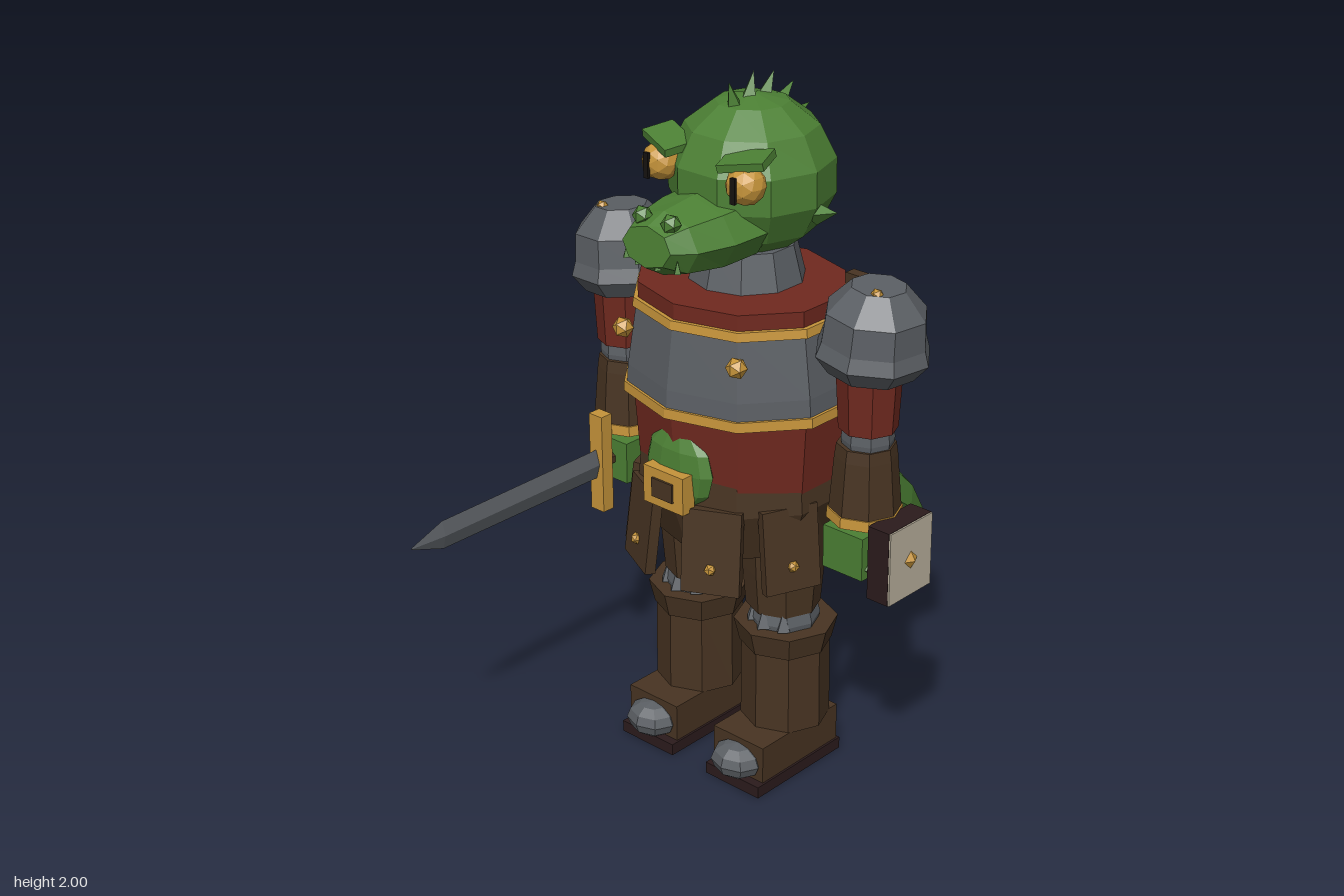
import * as THREE from 'three';

const paint = (name, color) => {
  const m = new THREE.MeshStandardMaterial({ color });
  m.name = name;
  return m;
};

export function createModel() {
  const green = paint('green scales', 0x4c8034), steel = paint('steel', 0x5b5f64);
  const red = paint('red cloth', 0x70291f), leather = paint('brown leather', 0x483422);
  const gold = paint('gold', 0xc6943a), dark = paint('dark sole', 0x2b1b1c);
  const cream = paint('cream', 0xb9b09c), black = paint('black', 0x161210);

  const model = new THREE.Group();
  model.name = 'lizardKnight';

  // Faceted mesh with one normal per face
  function add(name, geo, mat, x = 0, y = 0, z = 0, parent = model) {
    const flat = geo.index ? geo.toNonIndexed() : geo;
    flat.computeVertexNormals();
    const mesh = new THREE.Mesh(flat, mat);
    mesh.name = name;
    mesh.position.set(x, y, z);
    parent.add(mesh);
    return mesh;
  }
  const group = (name, x = 0, y = 0, z = 0, parent = model) => {
    const g = new THREE.Group();
    g.name = name;
    g.position.set(x, y, z);
    parent.add(g);
    return g;
  };
  const box = (w, h, d) => new THREE.BoxGeometry(w, h, d);
  const stud = r => new THREE.IcosahedronGeometry(r, 0);
  // Turned solid, listed from bottom to top as [radius, y]
  const turned = (profile, sides, depth = 1) => new THREE.LatheGeometry(
    [[0, profile[0][1]], ...profile, [0, profile.at(-1)[1]]].map(p => new THREE.Vector2(...p)), sides
  ).scale(1, 1, depth);
  // Solid through elliptical sections [z, y, halfWidth, halfHeight]
  function loft(sections, sides) {
    const pos = [], index = [], last = sections.length - 1;
    sections.forEach(([z, y, w, h], i) => {
      const a = sections[Math.max(i - 1, 0)], b = sections[Math.min(i + 1, last)];
      const t = new THREE.Vector2(b[0] - a[0], b[1] - a[1]).normalize();
      for (let k = 0; k < sides; k++) {
        const q = (k / sides) * Math.PI * 2;
        pos.push(w * Math.cos(q), y + t.x * h * Math.sin(q), z - t.y * h * Math.sin(q));
        const n = i * sides + k, m = i * sides + (k + 1) % sides;
        if (i < last) index.push(n, m, m + sides, n, m + sides, n + sides);
      }
    });
    const end = last * sides;
    for (let k = 1; k < sides - 1; k++) index.push(0, k + 1, k, end, end + k, end + k + 1);
    const geo = new THREE.BufferGeometry();
    geo.setAttribute('position', new THREE.Float32BufferAttribute(pos, 3));
    geo.setIndex(index);
    return geo;
  }

  // Head and snout
  const head = group('head');
  add('skull', new THREE.SphereGeometry(0.23, 10, 7), green, 0, 1.72, -0.05, head).scale.set(1, 0.96, 1);
  add('snout', loft([[0.06, 1.62, 0.16, 0.1], [0.18, 1.615, 0.15, 0.1],
    [0.29, 1.615, 0.12, 0.087], [0.355, 1.622, 0.085, 0.055]], 8), green, 0, 0, 0, head);
  // Spikes along the crown
  [-17, 1, 18, 37, 58].forEach((deg, i) => {
    const a = THREE.MathUtils.degToRad(deg);
    const s = add('crestSpike', new THREE.ConeGeometry(0.028, 0.085, 4), green,
      0, 1.72 + 0.235 * Math.cos(a), -0.04 - 0.235 * Math.sin(a), head);
    s.rotation.x = -a - (i ? 0.25 : 0);
  });
  for (const s of [-1, 1]) {
    const side = s < 0 ? 'right' : 'left';
    add(side + 'Eye', new THREE.IcosahedronGeometry(0.054, 1), gold, s * 0.148, 1.767, 0.14, head);
    add(side + 'Pupil', box(0.016, 0.07, 0.009), black, s * 0.152, 1.765, 0.193, head);
    const brow = add(side + 'Brow', box(0.13, 0.022, 0.09), green, s * 0.135, 1.825, 0.125, head);
    brow.rotation.set(0.15, s * 0.35, s * 0.12);
    const ear = add(side + 'Ear', new THREE.ConeGeometry(0.034, 0.08, 4), green, s * 0.235, 1.655, -0.075, head);
    ear.rotation.z = -s * 1.35;
    add(side + 'Nostril', stud(0.028), green, s * 0.05, 1.685, 0.315, head);
    for (const [x, z] of [[0.035, 0.35], [0.09, 0.335]])
      add(side + 'Tooth', new THREE.ConeGeometry(0.012, 0.035, 4), green, s * x, 1.585, z, head);
  }

  // Torso, breastplate and trim
  const torso = group('torso', 0, 0, -0.01);
  add('neckGuard', turned([[0.165, 1.42], [0.135, 1.54]], 10), steel, 0, 0, -0.02, torso);
  add('tunic', turned([[0.305, 0.91], [0.322, 1.13], [0.322, 1.2]], 10, 0.88), red, 0, 0, 0, torso);
  add('tunicCollar', turned([[0.305, 1.37], [0.305, 1.437]], 10, 0.88), red, 0, 0, 0, torso);
  add('breastplate', turned([[0.343, 1.13], [0.338, 1.2], [0.308, 1.39]], 10, 0.88), steel, 0, 0, 0, torso);
  add('lowerTrim', turned([[0.352, 1.122], [0.35, 1.15]], 10, 0.88), gold, 0, 0, 0, torso);
  add('upperTrim', turned([[0.322, 1.368], [0.318, 1.393]], 10, 0.88), gold, 0, 0, 0, torso);
  add('belly', new THREE.SphereGeometry(0.12, 10, 6), green, 0, 0.96, 0.25, torso).scale.set(1, 1, 0.35);
  for (const s of [-1, 1]) {
    add('chestStud', stud(0.03), gold, s * 0.205, 1.308, 0.25, torso);
    add('backStrap', box(0.065, 0.27, 0.035), leather, s * 0.155, 1.26, -0.305, torso);
  }
  add('backDiamond', new THREE.OctahedronGeometry(1), gold, 0, 1.265, -0.295, torso).scale.set(0.065, 0.095, 0.04);

  // Belt, buckle and hanging flaps
  const belt = group('belt');
  add('hips', turned([[0.25, 0.7], [0.31, 0.85], [0.3, 0.955]], 10, 0.9), leather, 0, 0, -0.01, belt);
  add('buckle', box(0.145, 0.11, 0.045), gold, 0, 0.913, 0.285, belt);
  add('buckleCentre', box(0.075, 0.055, 0.008), leather, 0, 0.913, 0.31, belt);
  for (const s of [-1, 1]) for (const deg of [26, 68, 118]) {
    const flap = group('hipFlap', 0, 0, -0.01, belt);
    flap.rotation.y = s * THREE.MathUtils.degToRad(deg);
    const plate = add('flapPlate', box(0.165, 0.24, 0.03), leather, 0, 0.75, 0.292, flap);
    plate.rotation.x = -0.12;
    add('flapStud', stud(0.017), gold, 0, 0.705, 0.315, flap);
  }

  // Tail in two overlapping pieces
  const tail = group('tail');
  add('tailBase', loft([[-0.1, 0.8, 0.14, 0.13], [-0.25, 0.755, 0.16, 0.155], [-0.49, 0.64, 0.115, 0.118]], 8), green, 0, 0, 0, tail);
  add('tailTip', loft([[-0.47, 0.65, 0.11, 0.11], [-0.515, 0.63, 0.122, 0.124],
    [-0.67, 0.52, 0.09, 0.088], [-0.79, 0.418, 0.045, 0.04], [-0.825, 0.392, 0.015, 0.012]], 8), green, 0, 0, 0, tail);

  for (const s of [-1, 1]) {
    const side = s < 0 ? 'right' : 'left';

    // Arm
    const arm = group(side + 'Arm', s * 0.445, 0, -0.01);
    const pauldron = group(side + 'Pauldron', 0, 1.33, -0.01, arm);
    pauldron.rotation.z = -s * 0.08;
    add('shoulderPlate', turned([[0.12, -0.04], [0.158, 0.01], [0.145, 0.05], [0.138, 0.13], [0.075, 0.2]], 8),
      steel, 0, 0, 0, pauldron).rotation.y = 0.25;
    add('shoulderStud', stud(0.018), gold, s * 0.03, 0.197, 0.045, pauldron);
    add('sleeve', turned([[0.08, 1.13], [0.09, 1.32]], 8), red, 0, 0, 0, arm);
    add('elbow', turned([[0.065, 1.05], [0.072, 1.1], [0.068, 1.14]], 8), steel, 0, 0, 0, arm);
    add('bracer', turned([[0.1, 0.87], [0.085, 1.05], [0.08, 1.085]], 8), leather, -s * 0.005, 0, 0, arm);
    add('bracerTrim', turned([[0.104, 0.867], [0.102, 0.897]], 8), gold, -s * 0.005, 0, 0, arm);
    add('wrist', turned([[0.06, 0.83], [0.06, 0.88]], 8), green, 0, 0, 0, arm);
    add('hand', box(0.135, 0.125, 0.15), green, -s * 0.01, 0.785, 0.01, arm);
    for (const z of [-0.04, 0.01, 0.06]) {
      const claw = add('claw', new THREE.ConeGeometry(0.016, 0.045, 4), green, s * 0.07, 0.75, z, arm);
      claw.rotation.z = -s * 1.6;
    }

    // Leg and boot
    const leg = group(side + 'Leg', s * 0.165, 0, -0.01);
    add('thigh', turned([[0.105, 0.5], [0.115, 0.62], [0.125, 0.85]], 8), leather, -s * 0.01, 0, 0, leg);
    add('kneeGuard', turned([[0.09, 0.42], [0.1, 0.47], [0.085, 0.53]], 8), steel, 0, 0, 0.005, leg);
    for (const x of [-0.055, 0, 0.055])
      add('kneePoint', new THREE.ConeGeometry(0.025, 0.06, 4), steel, x, 0.49, 0.095 - Math.abs(x) * 0.4, leg);
    add('bootCuff', turned([[0.13, 0.385], [0.147, 0.455]], 8), leather, 0, 0, 0, leg);
    add('bootShaft', turned([[0.127, 0.145], [0.125, 0.4]], 8), leather, 0, 0, 0, leg);
    add('bootFoot', box(0.185, 0.115, 0.32), leather, 0, 0.09, 0.04, leg);
    add('bootSole', box(0.198, 0.035, 0.355), dark, 0, 0.0175, 0.05, leg);
    add('toeCap', new THREE.SphereGeometry(1, 8, 6), steel, 0, 0.08, 0.205, leg).scale.set(0.08, 0.052, 0.068);
  }

  // Sword held forward in the right hand
  const sword = group('sword', -0.43, 0.787, 0);
  add('blade', loft([[0.1, 0, 0.013, 0.045], [0.72, 0, 0.012, 0.042], [0.83, 0, 0.001, 0.003]], 4), steel, 0, 0, 0, sword);
  add('crossguard', box(0.05, 0.3, 0.04), gold, 0, 0.003, 0.115, sword);
  add('grip', new THREE.CylinderGeometry(0.02, 0.02, 0.27, 6).rotateX(Math.PI / 2), leather, 0, 0, -0.03, sword);
  add('pommel', stud(0.035), gold, 0, 0, -0.155, sword);

  // Small square shield at the left hand
  const shield = group('shield', 0.557, 0.788, -0.013);
  add('shieldBody', box(0.07, 0.215, 0.178), dark, 0, 0, 0, shield);
  add('shieldFace', box(0.008, 0.213, 0.176), cream, 0.036, 0, 0, shield);
  add('shieldStud', new THREE.OctahedronGeometry(0.036), gold, 0.034, 0, 0, shield).scale.x = 0.6;

  return model;
}
